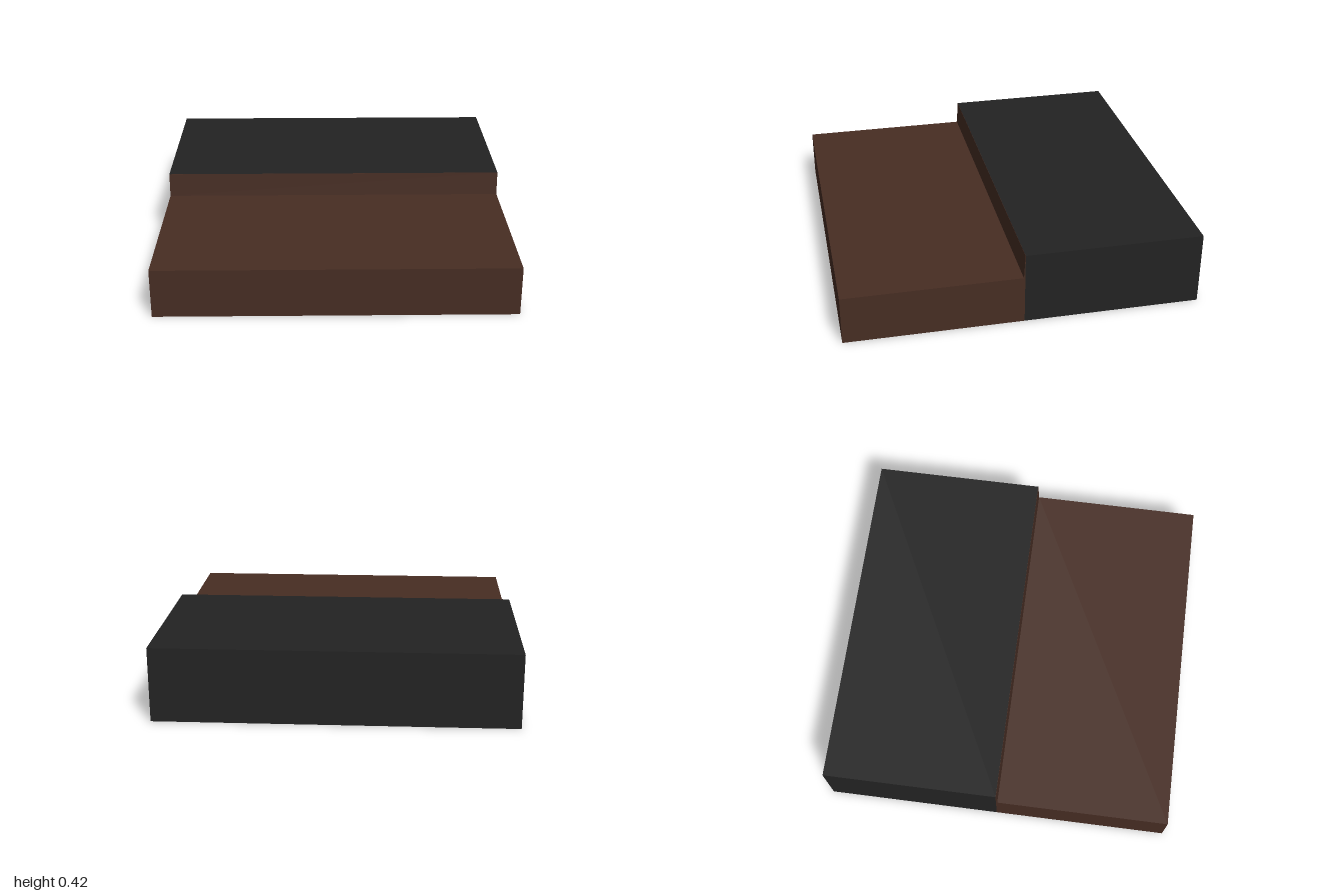
import * as THREE from 'three';

const material = (name, color) => {
  const m = new THREE.MeshStandardMaterial({ color });
  m.name = name;
  return m;
};

// Extrudes a side profile of [z, y] points across the full width in x
function slab(name, points, mat) {
  const shape = new THREE.Shape(points.map(([z, y]) => new THREE.Vector2(-z, y)));
  const geometry = new THREE.ExtrudeGeometry(shape, { depth: 2, bevelEnabled: false });
  geometry.translate(0, 0, -1).rotateY(Math.PI / 2);
  const mesh = new THREE.Mesh(geometry, mat);
  mesh.name = name;
  return mesh;
}

export function createModel() {
  const group = new THREE.Group();
  group.name = 'steppedBlock';
  const brown = material('dark brown', 0x472d23);
  const charcoal = material('charcoal', 0x232323);

  // Low front step with a slightly sloping riser that faces the rear block
  group.add(slab('frontStep',
    [[0, 0], [1, 0], [1, 0.28], [0.008, 0.28], [0.001, 0.42], [0, 0.42]], brown));

  // Taller rear block
  group.add(slab('rearBlock', [[-1, 0], [0, 0], [0, 0.42], [-1, 0.42]], charcoal));

  return group;
}
